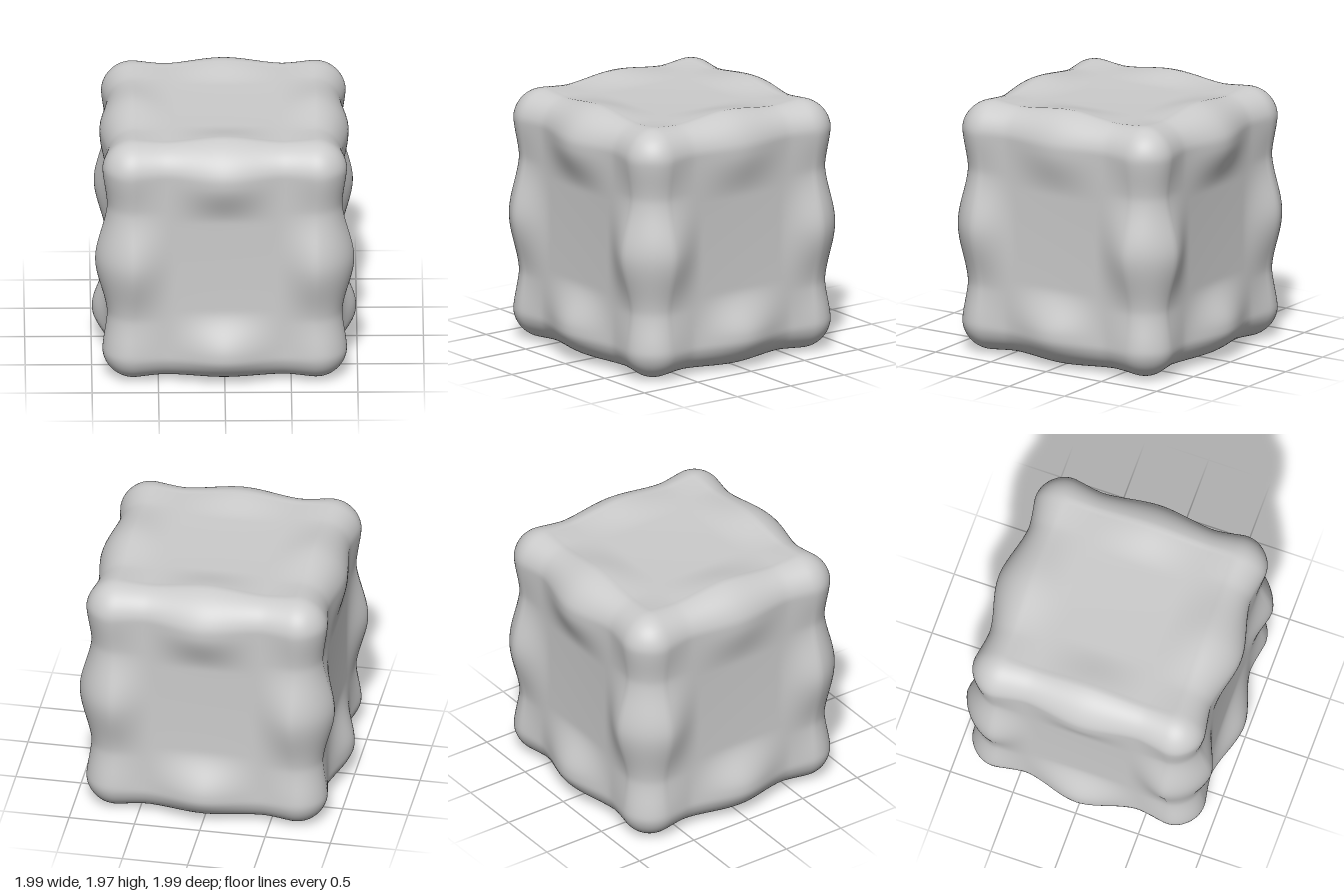
import * as THREE from 'three';
import { mergeVertices } from 'three/addons/utils/BufferGeometryUtils.js';

const HALF = new THREE.Vector3(0.885, 0.955, 0.885); // half size of the plain cube
const RADIUS = 0.22; // edge rounding
const CENTER_Y = 0.99;
const SEGMENTS = 80;
const AXES = ['x', 'y', 'z'];

const { clamp, smoothstep } = THREE.MathUtils;

// Swelling at the middle of the edge joining the two axes across `along`, lower on the very edge
function edgeBump(p, n, along) {
  const [a, b] = AXES.filter((k) => k !== along);
  const across = smoothstep(Math.min(Math.abs(p[a]), Math.abs(p[b])), 0.36, 0.7);
  const length = smoothstep(0.47 - Math.abs(p[along]), 0, 0.47);
  return across * length * (1 - 0.4 * Math.abs(n[a] * n[b]));
}

// Sideways strength: bottom edges swell most, top side edges least
function sideStrength(p, along) {
  if (along === 'y') return 0.095;
  if (p.y < 0) return 0.112;
  return along === 'z' ? 0.055 : 0.09;
}

// Vertical strength: gentle on top, gentler underneath
function uprightStrength(p, along) {
  if (p.y > 0) return 0.045;
  return along === 'z' ? 0.025 : 0.008;
}

function lumpyCube() {
  const box = new THREE.BoxGeometry(HALF.x * 2, HALF.y * 2, HALF.z * 2, SEGMENTS, SEGMENTS, SEGMENTS);
  box.deleteAttribute('uv');
  box.deleteAttribute('normal');
  const geometry = mergeVertices(box, 1e-4);
  const pos = geometry.attributes.position;
  const p = new THREE.Vector3();
  const core = new THREE.Vector3();
  const n = new THREE.Vector3();

  for (let i = 0; i < pos.count; i++) {
    // Round the edges and corners
    p.fromBufferAttribute(pos, i);
    for (const k of AXES) core[k] = clamp(p[k], RADIUS - HALF[k], HALF[k] - RADIUS);
    n.subVectors(p, core).normalize();
    p.copy(core).addScaledVector(n, RADIUS);

    // Swell the eight corners, and hollow the middle of every face slightly
    let corner = 1;
    let hollow = 0.018;
    for (const k of AXES) {
      corner *= smoothstep(Math.abs(p[k]), 0.42, 0.78);
      if (Math.abs(n[k]) < 0.999) hollow *= Math.max(0, 1 - (p[k] / 0.8) ** 2);
    }

    // Swell the middle of all twelve edges
    let side = 0.045 * corner - hollow;
    let upright = 0.025 * corner - hollow;
    for (const along of AXES) {
      const bump = edgeBump(p, n, along);
      side += bump * sideStrength(p, along);
      upright += bump * uprightStrength(p, along);
    }
    pos.setXYZ(i, p.x + n.x * side, p.y + n.y * upright + CENTER_Y, p.z + n.z * side);
  }
  geometry.computeVertexNormals();

  // Rest the lowest point on the ground
  geometry.computeBoundingBox();
  geometry.translate(0, -geometry.boundingBox.min.y, 0);
  return geometry;
}

export function createModel() {
  const group = new THREE.Group();
  group.name = 'lumpyCube';
  const cube = new THREE.Mesh(lumpyCube(), new THREE.MeshStandardMaterial({ color: 0xcccccc }));
  cube.name = 'cubeBody';
  group.add(cube);
  return group;
}
